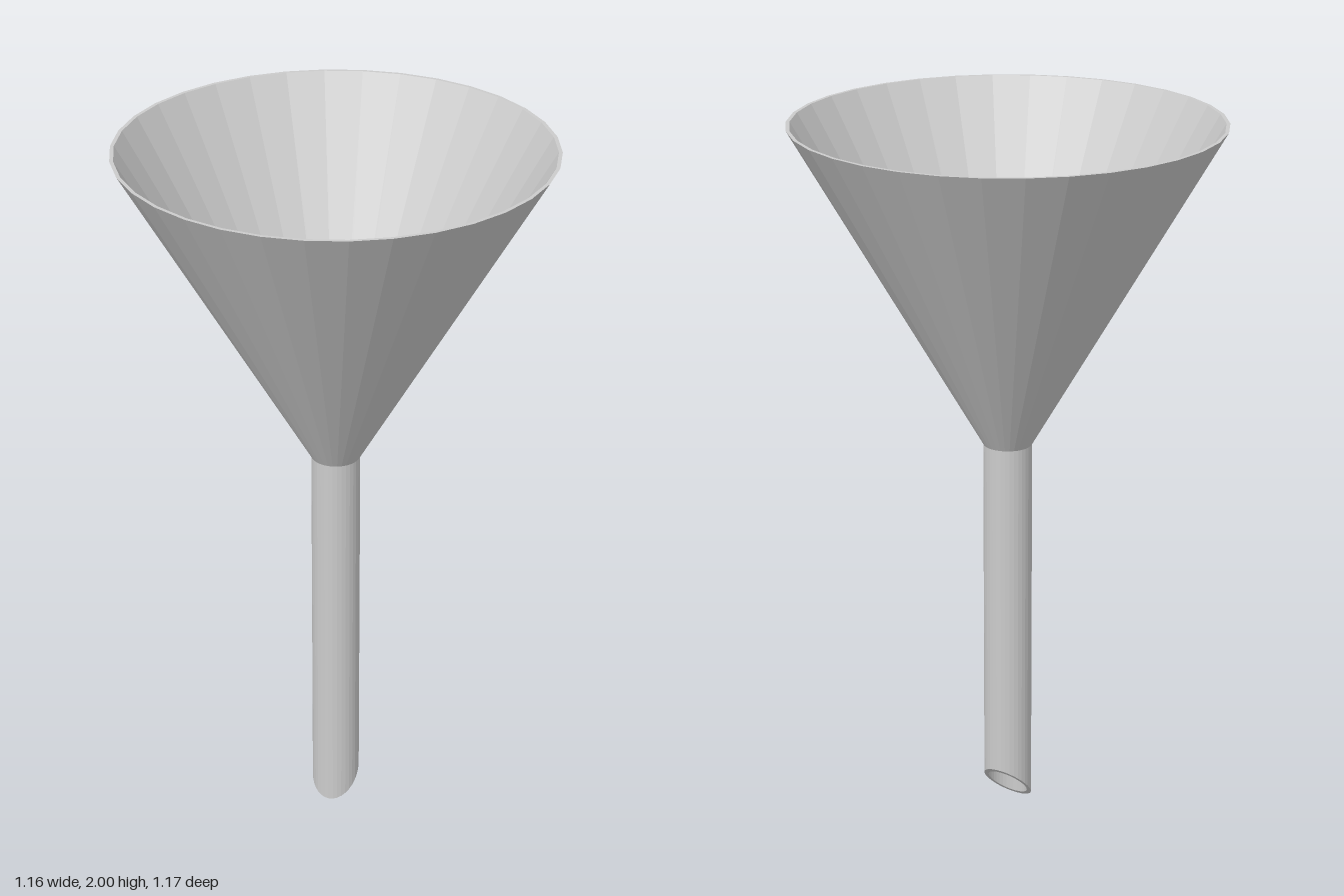
import * as THREE from 'three';

const SIDES = 34;
const STEM_R = 0.067, BORE_R = 0.055;   // outer and inner radius of the stem
const RIM_R = 0.583, RIM_INNER_R = 0.573;
const NECK_Y = 1.105, TOP_Y = 2;

// Revolve a profile of [radius, height] pairs into a faceted wall
function turned(name, profile) {
  const points = profile.map(([r, y]) => new THREE.Vector2(r, y));
  const material = new THREE.MeshStandardMaterial({ color: 0xcccccc, flatShading: true });
  const mesh = new THREE.Mesh(new THREE.LatheGeometry(points, SIDES), material);
  mesh.name = name;
  return mesh;
}

export function createModel() {
  const group = new THREE.Group();
  group.name = 'funnel';

  // Conical bowl: outer wall up, flat rim, inner wall back down
  const bowl = turned('bowl', [
    [STEM_R, NECK_Y], [RIM_R, TOP_Y], [RIM_INNER_R, TOP_Y], [BORE_R, NECK_Y],
  ]);

  // Hollow stem: bore down, lip at the tip, outer wall up
  const stem = turned('stem', [
    [BORE_R, NECK_Y], [BORE_R, 0], [STEM_R, 0], [STEM_R, NECK_Y],
  ]);

  // Cut the tip at 45 degrees, lowest at the front
  const pos = stem.geometry.attributes.position;
  for (let i = 0; i < pos.count; i++) {
    if (pos.getY(i) < 0.01) pos.setY(i, STEM_R - pos.getZ(i));
  }
  stem.geometry.computeVertexNormals();

  group.add(bowl, stem);
  return group;
}
